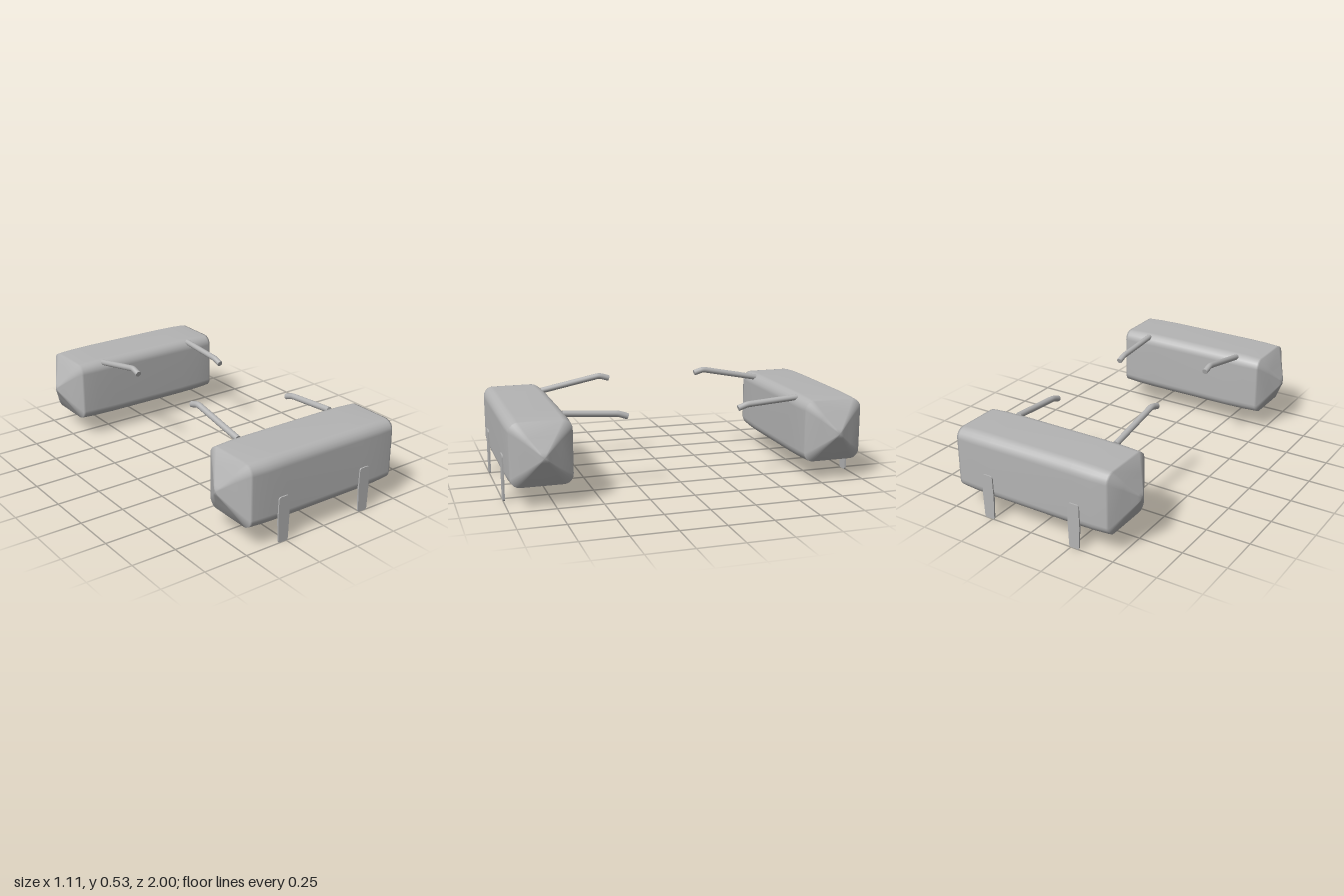
import * as THREE from 'three';

const grey = new THREE.MeshStandardMaterial({ color: 0xb4b4b4 });
grey.name = 'plain grey';

// Rounded rectangle in the z-y plane, as [z, y] points
function section(halfZ, halfY, r, steps = 5) {
  const pts = [];
  for (let c = 0; c < 4; c++) {
    const sz = c === 0 || c === 3 ? 1 : -1;
    const sy = c < 2 ? 1 : -1;
    for (let k = 0; k <= steps; k++) {
      const a = (c + k / steps) * Math.PI / 2;
      pts.push([sz * (halfZ - r) + r * Math.cos(a), sy * (halfY - r) + r * Math.sin(a)]);
    }
  }
  return pts;
}

// Body: sections lofted along x, closing to a blunt point at each end
function bodyGeometry() {
  // x, half depth, half height, corner radius
  const half = [
    [0.557, 0, 0, 0], [0.556, 0.012, 0.013, 0.005], [0.549, 0.026, 0.028, 0.009],
    [0.508, 0.093, 0.097, 0.026], [0.468, 0.165, 0.171, 0.05], [0.455, 0.168, 0.173, 0.055],
    [0.37, 0.173, 0.178, 0.06], [0.25, 0.174, 0.18, 0.06],
  ];
  const rings = [...half.map(([x, ...s]) => [-x, ...s]), ...half.slice().reverse()];
  const pos = [], index = [];
  let n = 0;
  rings.forEach(([x, hz, hy, r], j) => {
    const pts = section(hz, hy, r);
    n = pts.length;
    for (const [z, y] of pts) pos.push(x, y, z);
    if (j === 0) return;
    for (let i = 0; i < n; i++) {
      const i2 = (i + 1) % n;
      const a = (j - 1) * n + i, b = (j - 1) * n + i2, c = j * n + i, d = j * n + i2;
      if (j > 1) index.push(a, c, b);
      else index.push(a, c, d);
      if (j > 1 && j < rings.length - 1) index.push(b, c, d);
    }
  });
  const g = new THREE.BufferGeometry();
  g.setAttribute('position', new THREE.Float32BufferAttribute(pos, 3));
  g.setIndex(index);
  g.computeVertexNormals();
  return g;
}

// Leg: thin plate, widest in the middle, with rounded corners
function legGeometry() {
  const s = new THREE.Shape();
  s.moveTo(-0.02, 0);
  s.lineTo(0.02, 0);
  s.quadraticCurveTo(0.029, 0, 0.03, 0.012);
  s.lineTo(0.035, 0.13);
  s.lineTo(0.032, 0.24);
  s.quadraticCurveTo(0.031, 0.255, 0.02, 0.255);
  s.lineTo(-0.02, 0.255);
  s.quadraticCurveTo(-0.031, 0.255, -0.032, 0.24);
  s.lineTo(-0.035, 0.13);
  s.lineTo(-0.03, 0.012);
  s.quadraticCurveTo(-0.029, 0, -0.02, 0);
  return new THREE.ExtrudeGeometry(s, { depth: 0.009, bevelEnabled: false, curveSegments: 4 });
}

// Arm: bent rod with flat ends, path given as [y, z] points
function armGeometry(x, points) {
  const [a, b, c] = points.map(([y, z]) => new THREE.Vector3(x, y, z));
  const b1 = b.clone().lerp(a, 0.05), b2 = b.clone().lerp(c, 0.25);
  const path = new THREE.CurvePath();
  path.add(new THREE.LineCurve3(a, b1));
  path.add(new THREE.QuadraticBezierCurve3(b1, b, b2));
  path.add(new THREE.LineCurve3(b2, c));
  const radius = 0.017, sides = 14;
  const tube = new THREE.TubeGeometry(path, 40, radius, sides);
  const caps = [[a, b], [c, b]].map(([end, inner]) => {
    const g = new THREE.CircleGeometry(radius, sides);
    const dir = end.clone().sub(inner).normalize();
    g.applyQuaternion(new THREE.Quaternion().setFromUnitVectors(new THREE.Vector3(0, 0, 1), dir));
    return g.translate(end.x, end.y, end.z);
  });
  return [tube, ...caps];
}

export function createModel() {
  const model = new THREE.Group();
  model.name = 'pairedTanks';
  const body = bodyGeometry(), leg = legGeometry();
  const arms = {
    raisedArm: armGeometry(-0.31, [[0.452, 0.672], [0.52, 0.325], [0.503, 0.268]]),
    levelArm: armGeometry(0.305, [[0.455, 0.672], [0.433, 0.37], [0.415, 0.318]]),
  };
  const add = (parent, name, geometry) => {
    const m = new THREE.Mesh(geometry, grey);
    m.name = name;
    parent.add(m);
    return m;
  };

  // Front tank, and the same tank mirrored to the back
  for (const side of [1, -1]) {
    const tank = new THREE.Group();
    tank.name = side > 0 ? 'frontTank' : 'backTank';
    add(tank, 'body', body).position.set(0, 0.29, 0.819);
    for (const x of [-0.27, 0.27]) add(tank, x < 0 ? 'rightLeg' : 'leftLeg', leg).position.set(x, 0, 0.991);
    for (const [name, parts] of Object.entries(arms)) {
      const arm = new THREE.Group();
      arm.name = name;
      parts.forEach((g, i) => add(arm, i ? 'rodEnd' : 'rod', g));
      tank.add(arm);
    }
    tank.scale.z = side;
    model.add(tank);
  }
  return model;
}
